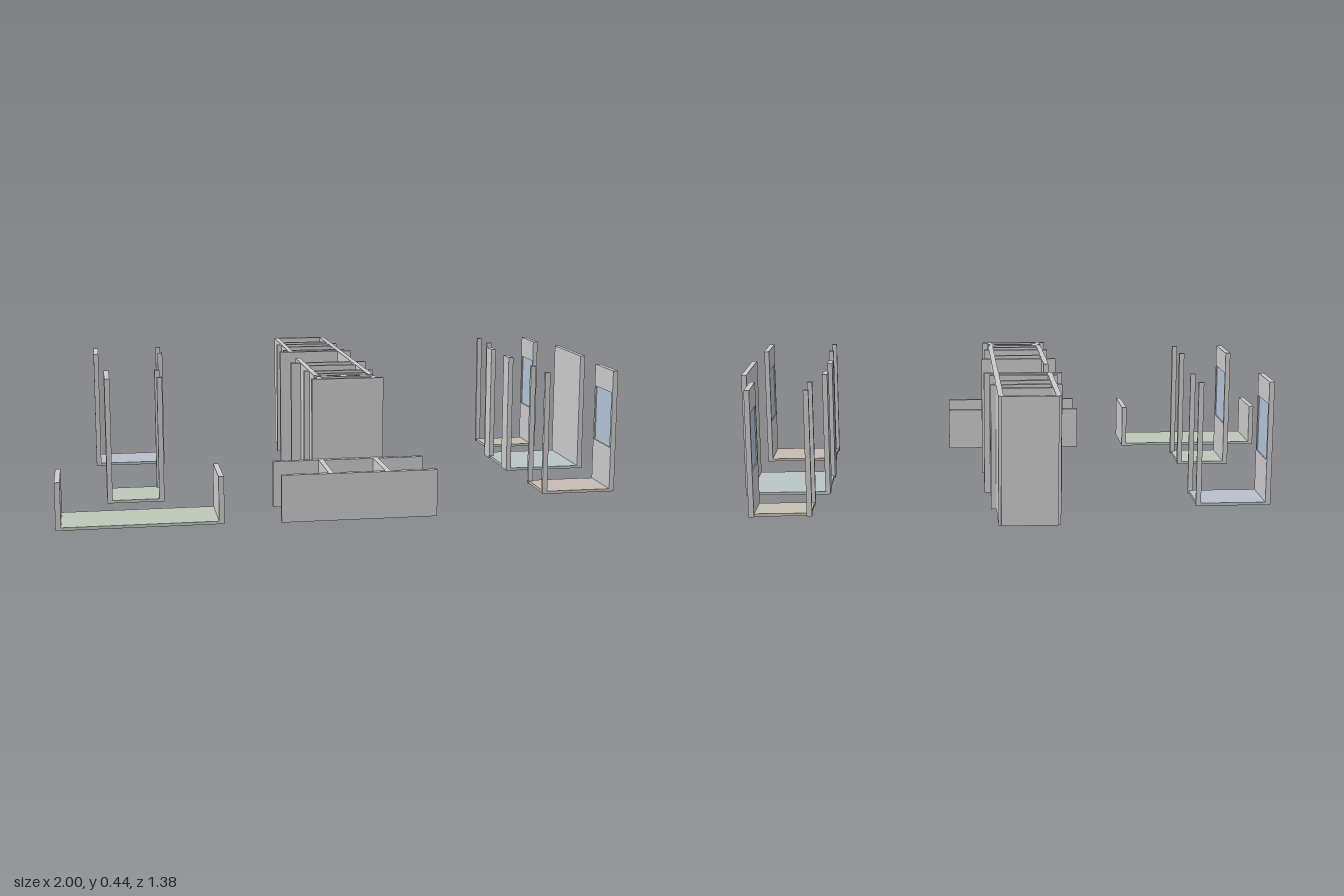
import * as THREE from 'three';

const H = 0.44;      // full wall height
const LOW = 0.16;    // low wall height
const T = 0.018;     // wall thickness
const FLOOR = 0.01;  // floor thickness

const mat = (color) => new THREE.MeshStandardMaterial({ color });
const wallMat = mat(0xcccccc);
const glassMat = mat(0xb4c4d6);
const tan = mat(0xc8bda4), green = mat(0xbfc8bb), blue = mat(0xb8c0cc);
const teal = mat(0xbac6c6), pink = mat(0xc8bcb2), sand = mat(0xc6bfb2);

// Box given by its limits on each axis
function box(parent, name, x0, x1, y0, y1, z0, z1, material = wallMat) {
  const m = new THREE.Mesh(new THREE.BoxGeometry(x1 - x0, y1 - y0, z1 - z0), material);
  m.position.set((x0 + x1) / 2, (y0 + y1) / 2, (z0 + z1) / 2);
  m.name = name;
  parent.add(m);
}

// Wall along z with one window opening and its pane
function windowWall(parent, x0, x1, z0, z1, margin) {
  const w = z1 - z0, hw = w / 2 - margin;
  const s = new THREE.Shape();
  s.moveTo(-w / 2, 0); s.lineTo(w / 2, 0); s.lineTo(w / 2, H); s.lineTo(-w / 2, H); s.closePath();
  const hole = new THREE.Path();
  hole.moveTo(-hw, LOW); hole.lineTo(-hw, 0.36); hole.lineTo(hw, 0.36); hole.lineTo(hw, LOW); hole.closePath();
  s.holes.push(hole);
  const g = new THREE.ExtrudeGeometry(s, { depth: x1 - x0, bevelEnabled: false });
  g.rotateY(Math.PI / 2);
  const m = new THREE.Mesh(g, wallMat);
  m.name = 'windowWall';
  m.position.set(x0, 0, (z0 + z1) / 2);
  parent.add(m);
  box(parent, 'windowPane', x0 + 0.004, x1 - 0.004, LOW, 0.36, z0 + margin, z1 - margin, glassMat);
}

// Detached side room: floor, outer wall, and two jambs facing the core
function sideRoom(root, { name, inner, outer, z0, z1, jamb, floor, window = true, inset = 0 }) {
  const g = new THREE.Group();
  g.name = name;
  const s = Math.sign(outer);
  const span = (a, b) => [Math.min(a, b), Math.max(a, b)];
  box(g, 'floor', ...span(inner + s * 0.004, outer - s * 0.004), 0, FLOOR, z0 + inset, z1 - inset, floor);
  const [a, b] = span(outer - s * T, outer);
  if (window) windowWall(g, a, b, z0, z1, 0.012);
  else box(g, 'outerWall', a, b, 0, H, z0, z1);
  const [c, d] = span(inner, inner + s * T);
  box(g, 'backJamb', c, d, 0, H, z0, z0 + jamb);
  box(g, 'frontJamb', c, d, 0, H, z1 - jamb, z1);
  root.add(g);
}

// Long central core of small rooms
function buildCore() {
  const g = new THREE.Group();
  g.name = 'core';

  // side walls, with a doorway on the right of the main room
  box(g, 'leftWall', 0.087, 0.105, 0, H, -0.68, 0.376);
  box(g, 'rightWallBack', -0.105, -0.087, 0, H, -0.68, -0.249);
  box(g, 'rightWallFront', -0.105, -0.087, 0, H, -0.072, 0.376);

  // cross walls: [centre z, half width]
  const cross = [
    [-0.681, 0.096], [-0.533, 0.09], [-0.472, 0.123], [-0.398, 0.09],
    [-0.292, 0.121], [-0.249, 0.14], [0.053, 0.14], [0.131, 0.09],
    [0.264, 0.124], [0.328, 0.09], [0.376, 0.096],
    [0.402, 0.096], [0.448, 0.125],
  ];
  for (const [z, w] of cross) box(g, 'crossWall', -w, w, 0, H, z - T / 2, z + T / 2);

  // floors between neighbouring cross walls, except in the open gap
  for (let i = 0; i < cross.length - 1; i++) {
    if (i === 10) continue;
    const main = i === 5;
    box(g, 'floor', main ? -0.1 : -0.087, 0.087, 0, FLOOR,
      cross[i][0] + T / 2, cross[i + 1][0] - T / 2, i === 11 ? teal : tan);
  }

  // short front cell
  for (const s of [-1, 1]) box(g, 'cellWall', s * 0.096 - T / 2, s * 0.096 + T / 2, 0, H, 0.402, 0.44);
  return g;
}

// Low porch at the front of the core
function buildPorch() {
  const g = new THREE.Group();
  g.name = 'porch';
  for (const z of [0.467, 0.681]) box(g, 'longLowWall', -0.264, 0.264, 0, LOW, z - T / 2, z + T / 2);
  for (const s of [-1, 1]) box(g, 'shortLowWall', s * 0.096 - T / 2, s * 0.096 + T / 2, 0, LOW, 0.476, 0.672);
  box(g, 'floor', -0.087, 0.087, 0, FLOOR, 0.476, 0.672, teal);
  return g;
}

// Detached low terrace
function buildTerrace() {
  const g = new THREE.Group();
  g.name = 'terrace';
  box(g, 'floor', -0.982, -0.47, 0, FLOOR, 0.469, 0.675, green);
  box(g, 'outerLowWall', -1, -0.982, 0, LOW, 0.469, 0.675);
  box(g, 'innerLowWall', -0.47, -0.452, 0, LOW, 0.469, 0.675);
  return g;
}

export function createModel() {
  const root = new THREE.Group();
  root.name = 'explodedHouse';
  root.add(buildCore(), buildPorch(), buildTerrace());

  const rooms = [
    { name: 'leftBackRoom', inner: 0.737, outer: 0.952, z0: -0.541, z1: -0.383, jamb: 0.014, inset: 0.01, floor: sand },
    { name: 'leftMiddleRoom', inner: 0.697, outer: 1, z0: -0.25, z1: 0.053, jamb: 0.068, floor: teal, window: false },
    { name: 'leftFrontRoom', inner: 0.713, outer: 0.982, z0: 0.266, z1: 0.446, jamb: 0.014, floor: pink },
    { name: 'rightBackRoom', inner: -0.596, outer: -0.86, z0: -0.475, z1: -0.298, jamb: 0.008, floor: blue },
    { name: 'rightFrontRoom', inner: -0.63, outer: -0.828, z0: 0.136, z1: 0.329, jamb: 0.018, floor: green },
  ];
  for (const r of rooms) sideRoom(root, r);
  return root;
}
